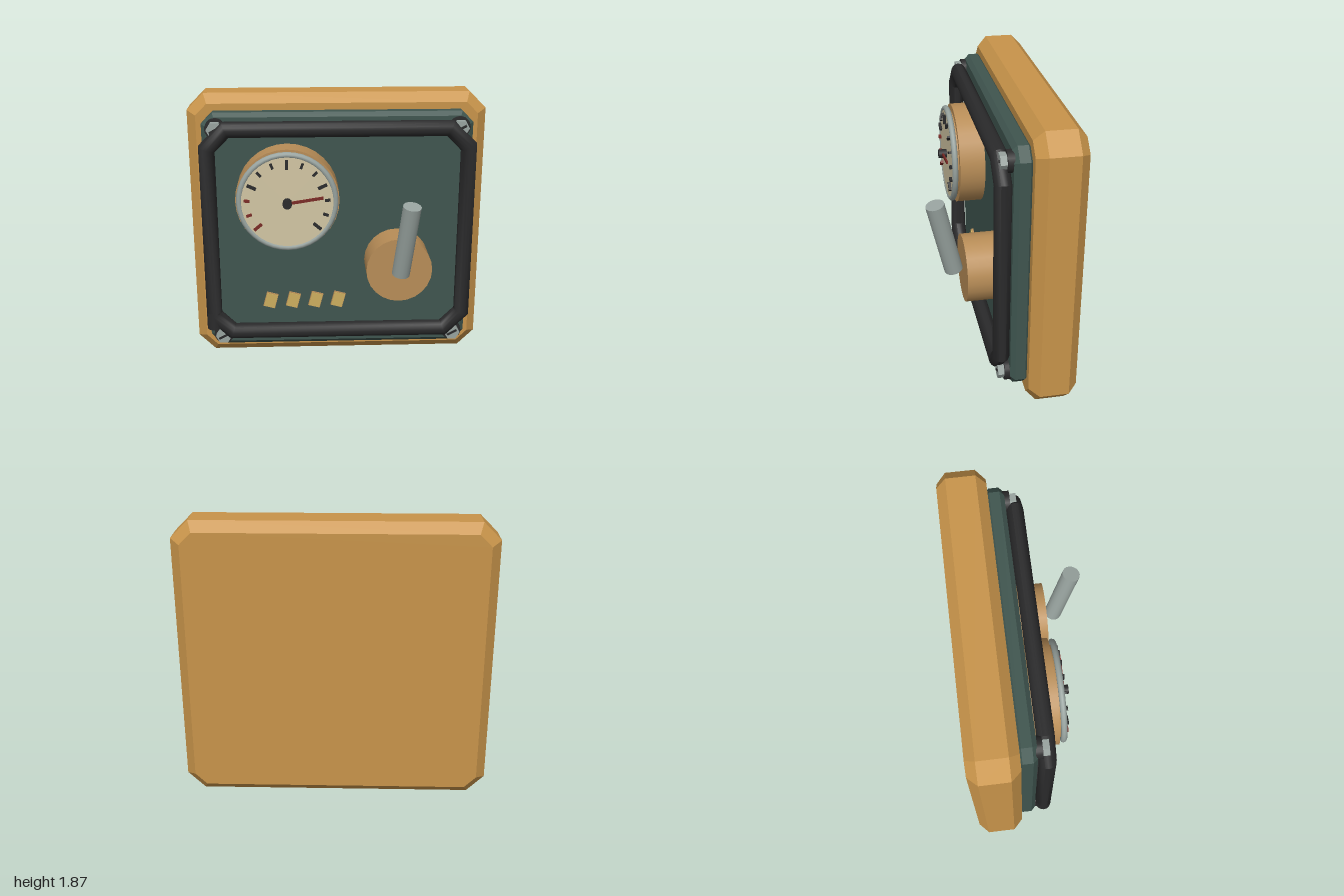
import * as THREE from 'three';
import { toCreasedNormals } from 'three/addons/utils/BufferGeometryUtils.js';

const paint = (name, color) => new THREE.MeshStandardMaterial({ name, color });

// Corners of a rectangle with cut corners, counter-clockwise
function octagon(w, h, c) {
  return [
    [w, -h + c], [w, h - c], [w - c, h], [-w + c, h],
    [-w, h - c], [-w, -h + c], [-w + c, -h], [w - c, -h],
  ].map(([x, y]) => new THREE.Vector2(x, y));
}

// Slab with cut corners and bevelled front and back rims
function slab(w, h, c, depth, bevel) {
  const geo = new THREE.ExtrudeGeometry(new THREE.Shape(octagon(w, h, c)), {
    depth: depth - 2 * bevel, bevelThickness: bevel, bevelSize: bevel,
    bevelOffset: -bevel, bevelSegments: 1,
  });
  return geo.translate(0, 0, bevel);
}

// Round bar mitred around an octagonal path
function barFrame(w, h, c, r, sides) {
  const pos = [], index = [];
  for (let j = 0; j < sides; j++) {
    const a = (j / sides) * Math.PI * 2, d = r * Math.cos(a);
    for (const p of octagon(w + d, h + d, c + d * (2 - Math.SQRT2))) pos.push(p.x, p.y, r * Math.sin(a));
  }
  for (let j = 0; j < sides; j++) {
    for (let i = 0; i < 8; i++) {
      const k = (i + 1) % 8, n = ((j + 1) % sides) * 8;
      const a = j * 8 + i, b = j * 8 + k;
      index.push(a, b, n + k, a, n + k, n + i);
    }
  }
  const geo = new THREE.BufferGeometry();
  geo.setAttribute('position', new THREE.Float32BufferAttribute(pos, 3));
  geo.setIndex(index);
  return toCreasedNormals(geo, 0.7);
}

// Disc or drum along z, from z0 to z1
function drum(r, z0, z1, sides) {
  return new THREE.CylinderGeometry(r, r, z1 - z0, sides)
    .rotateX(Math.PI / 2).translate(0, 0, (z0 + z1) / 2);
}

export function createModel() {
  const wood = paint('warm wood', 0xc8944a);
  const tan = paint('tan', 0xb88d57);
  const green = paint('dark green', 0x3f554f);
  const black = paint('black', 0x2a2a2b);
  const metal = paint('grey metal', 0x98a39f);
  const cream = paint('cream', 0xd2c6a3);
  const yellow = paint('yellow', 0xcdae5e);
  const red = paint('dark red', 0x7a2a25);

  const model = new THREE.Group();
  const add = (name, geo, mat, x = 0, y = 0, z = 0, parent = model) => {
    const mesh = new THREE.Mesh(geo, mat);
    mesh.name = name;
    mesh.position.set(x, y, z);
    parent.add(mesh);
    return mesh;
  };

  // Case and front panel
  add('case', slab(1, 0.935, 0.113, 0.31, 0.062), wood, 0, 0.935, -0.433);
  add('panel', slab(0.895, 0.828, 0.075, 0.12, 0.028), green, 0, 0.937, -0.14);

  // Guard bar with its butt joint at the lower corner
  add('guardBar', barFrame(0.857, 0.712, 0.125, 0.053, 16), black, 0, 0.957, 0.039);
  add('guardJoint', new THREE.CylinderGeometry(0.053, 0.053, 0.12, 16), black, -0.857, 0.333, 0.039);

  // Corner screws on dark washers
  for (const x of [-0.8, 0.8]) {
    for (const y of [0.207, 1.667]) {
      const screw = new THREE.Group();
      screw.name = 'screw';
      screw.position.set(x, y, 0);
      add('washer', drum(0.068, -0.03, 0.012, 20), black, 0, 0, 0, screw);
      const head = drum(0.055, 0.01, 0.052, 6).rotateZ(0.5);
      add('screwHead', toCreasedNormals(head, 0.5), metal, 0, 0, 0, screw);
      const slot = add('screwSlot', new THREE.BoxGeometry(0.075, 0.016, 0.006), black, 0, 0, 0.052, screw);
      slot.rotation.z = 0.5;
      model.add(screw);
    }
  }

  // Gauge
  const gauge = new THREE.Group();
  gauge.name = 'gauge';
  gauge.position.set(-0.336, 1.222, 0);
  model.add(gauge);
  add('gaugeHousing', drum(0.34, -0.03, 0.148, 32), tan, 0, 0, 0, gauge);
  add('gaugeNeck', drum(0.296, 0.14, 0.18, 32), tan, 0, 0, 0, gauge);
  add('gaugeRim', new THREE.TorusGeometry(0.312, 0.02, 10, 40), metal, 0, 0, 0.178, gauge);
  add('gaugeFace', drum(0.302, 0.175, 0.192, 40), cream, 0, 0, 0, gauge);

  // Dial marks, long on every third, red at the low end
  for (let i = 0; i < 13; i++) {
    const long = i % 3 === 0 && i % 6 !== 3 || i % 3 === 0;
    const angle = THREE.MathUtils.degToRad(-130 + (i * 260) / 12);
    const r = long ? 0.252 : 0.262;
    const mark = add('dialMark', new THREE.BoxGeometry(long ? 0.018 : 0.015, long ? 0.062 : 0.036, 0.022),
      i < 3 ? red : black, r * Math.sin(angle), r * Math.cos(angle), 0.2, gauge);
    mark.rotation.z = -angle;
  }

  // Needle and hub
  const needle = add('needle', new THREE.BoxGeometry(0.236, 0.018, 0.012).translate(0.118, 0, 0), red, 0, 0, 0.22, gauge);
  needle.rotation.z = 0.155;
  add('needleHub', drum(0.03, 0.19, 0.248, 12), black, 0, 0, 0, gauge);

  // Lever on its round base
  add('leverBase', drum(0.22, -0.025, 0.203, 24), tan, 0.4, 0.743, 0);
  const foot = new THREE.Vector3(0.403, 0.742, 0.262);
  const tip = new THREE.Vector3(0.452, 1.242, 0.378);
  const along = tip.clone().sub(foot);
  const lever = add('lever', new THREE.CylinderGeometry(0.06, 0.06, along.length(), 16), metal);
  lever.position.copy(foot).add(tip).multiplyScalar(0.5);
  lever.quaternion.setFromUnitVectors(new THREE.Vector3(0, 1, 0), along.normalize());

  // Row of slanted buttons
  for (let i = 0; i < 4; i++) {
    const x = -0.468 + i * 0.156;
    const bezel = add('buttonBezel', new THREE.BoxGeometry(0.083, 0.106, 0.02), tan, x, 0.45, -0.016);
    const button = add('button', new THREE.BoxGeometry(0.075, 0.098, 0.03), yellow, x, 0.45, -0.015);
    bezel.rotation.z = button.rotation.z = -0.26;
  }
  return model;
}
